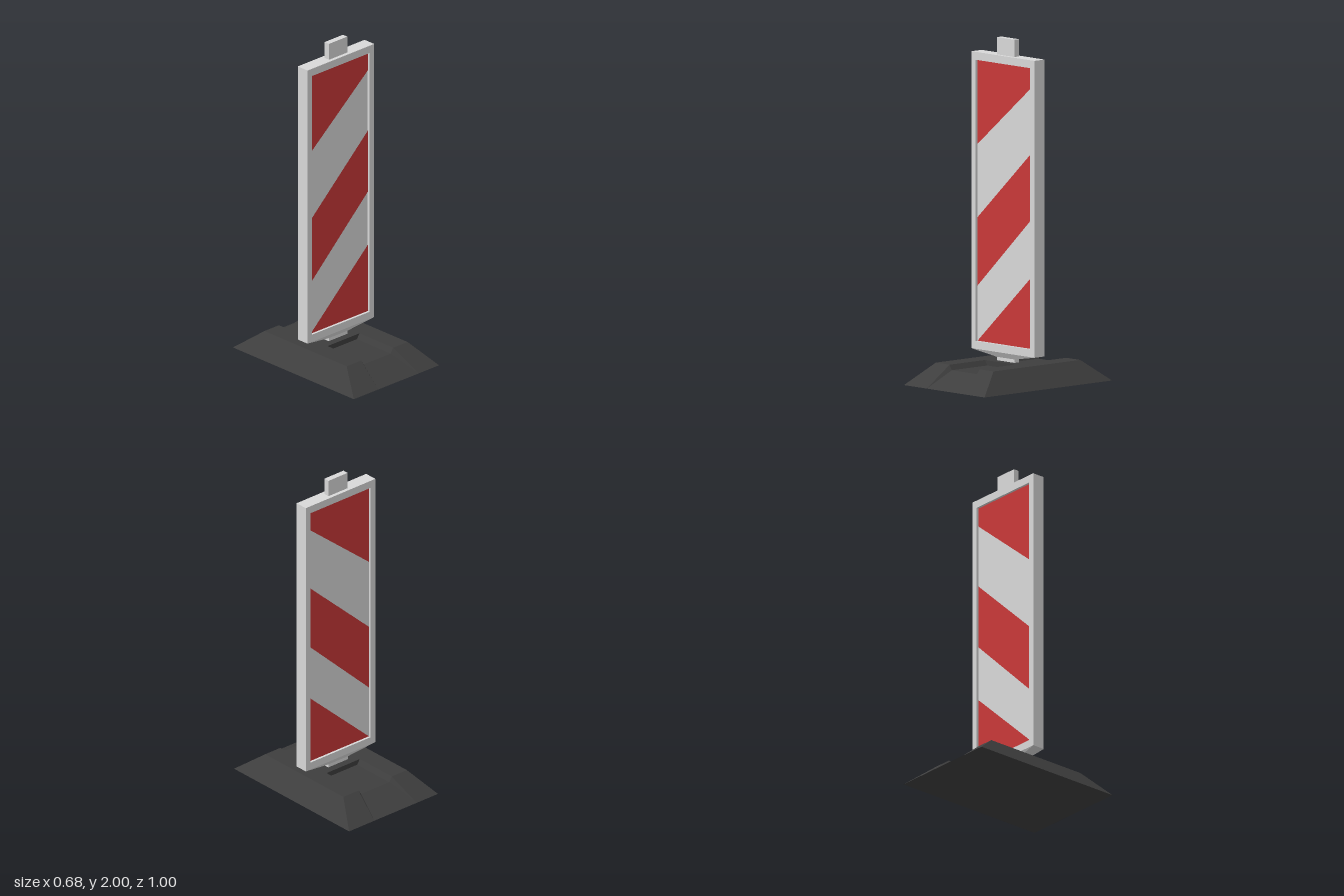
import * as THREE from 'three';

const white = new THREE.MeshStandardMaterial({ color: 0xd8d8d8 });
white.name = 'white plastic';
const red = new THREE.MeshStandardMaterial({ color: 0xc83838 });
red.name = 'reflective red';
const rubber = new THREE.MeshStandardMaterial({ color: 0x3e3e3e });
rubber.name = 'black rubber';

function add(parent, name, geometry, material, x = 0, y = 0, z = 0) {
  const mesh = new THREE.Mesh(geometry, material);
  mesh.name = name;
  mesh.position.set(x, y, z);
  parent.add(mesh);
  return mesh;
}

// Skins a row of equal-length cross-sections with flat faces
function loft(sections) {
  const pos = [];
  const tri = (a, b, c) => {
    const n = b.clone().sub(a).cross(c.clone().sub(a));
    if (n.length() > 1e-8) for (const p of [a, b, c]) pos.push(p.x, p.y, p.z);
  };
  for (let i = 0; i < sections.length - 1; i++) {
    const s = sections[i], t = sections[i + 1], n = s.length;
    for (let j = 0; j < n; j++) {
      const k = (j + 1) % n;
      tri(s[j], t[j], t[k]);
      tri(s[j], t[k], s[k]);
    }
  }
  const geometry = new THREE.BufferGeometry();
  geometry.setAttribute('position', new THREE.Float32BufferAttribute(pos, 3));
  geometry.computeVertexNormals();
  return geometry;
}

// Section across the foot: slab of height h with a channel whose floor is at f
function footSection(z, top, h, a, b, f) {
  const half = [[0.34, 0], [top, h], [a, h], [b, f]];
  const right = half.map(([x, y]) => new THREE.Vector3(-x, y, z));
  const left = half.map(([x, y]) => new THREE.Vector3(x, y, z)).reverse();
  return [...right, ...left];
}

function makeFoot() {
  const H = 0.125, F = 0.095;
  const toe = (z) => footSection(z, 0.34, 0, 0.177, 0.147, 0);
  const cut = (z) => footSection(z, 0.243, H, 0.127, 0.108, F);
  const solid = (z) => footSection(z, 0.243, H, 0.127, 0.108, H);
  return loft([
    toe(-0.5), cut(-0.34), cut(-0.062), solid(-0.062),
    solid(0.062), cut(0.062), cut(0.34), toe(0.5),
  ]);
}

function rectangle(Type, x, y0, y1) {
  const path = new Type();
  path.moveTo(-x, y0);
  path.lineTo(x, y0);
  path.lineTo(x, y1);
  path.lineTo(-x, y1);
  path.closePath();
  return path;
}

// Rectangular ring for the tapered underside
const ring = (x, y, z) => [[-x, -z], [-x, z], [x, z], [x, -z]]
  .map(([px, pz]) => new THREE.Vector3(px, y, pz));

export function createModel() {
  const model = new THREE.Group();
  model.name = 'warningBeacon';

  // Weighted foot with a shallow channel at each end
  add(model, 'foot', makeFoot(), rubber);

  // Raised frame around the sign
  const outline = rectangle(THREE.Shape, 0.266, 0.177, 1.9);
  outline.holes.push(rectangle(THREE.Path, 0.229, 0.222, 1.854));
  const frame = new THREE.ExtrudeGeometry(outline, { depth: 0.08, bevelEnabled: false });
  add(model, 'frame', frame, white, 0, 0, -0.04);

  // Recessed board
  add(model, 'board', new THREE.BoxGeometry(0.458, 1.632, 0.05), white, 0, 1.038, 0);

  // Diagonal stripes on both sides
  const W = 0.228;
  const stripes = [
    [[-W, 1.365], [W, 1.74], [W, 1.853], [-W, 1.853]],
    [[-W, 0.543], [W, 0.975], [W, 1.36], [-W, 0.94]],
    [[-W, 0.223], [W, 0.223], [W, 0.64]],
  ];
  for (const [side, z, turn] of [['front', 0.0265, 1], ['back', -0.0265, -1]]) {
    for (const points of stripes) {
      const shape = new THREE.Shape(points.map(([x, y]) => new THREE.Vector2(x * turn, y)));
      const stripe = add(model, side + 'Stripe', new THREE.ShapeGeometry(shape), red, 0, 0, z);
      if (turn < 0) stripe.rotation.y = Math.PI;
    }
  }

  // Tapered underside, stem into the foot and grip on top
  add(model, 'taper', loft([ring(0.075, 0.145, 0.019), ring(0.266, 0.177, 0.04)].reverse()), white);
  add(model, 'stem', new THREE.BoxGeometry(0.15, 0.07, 0.036), white, 0, 0.125, 0);
  add(model, 'grip', new THREE.BoxGeometry(0.146, 0.1, 0.036), white, 0, 1.95, 0);
  return model;
}
